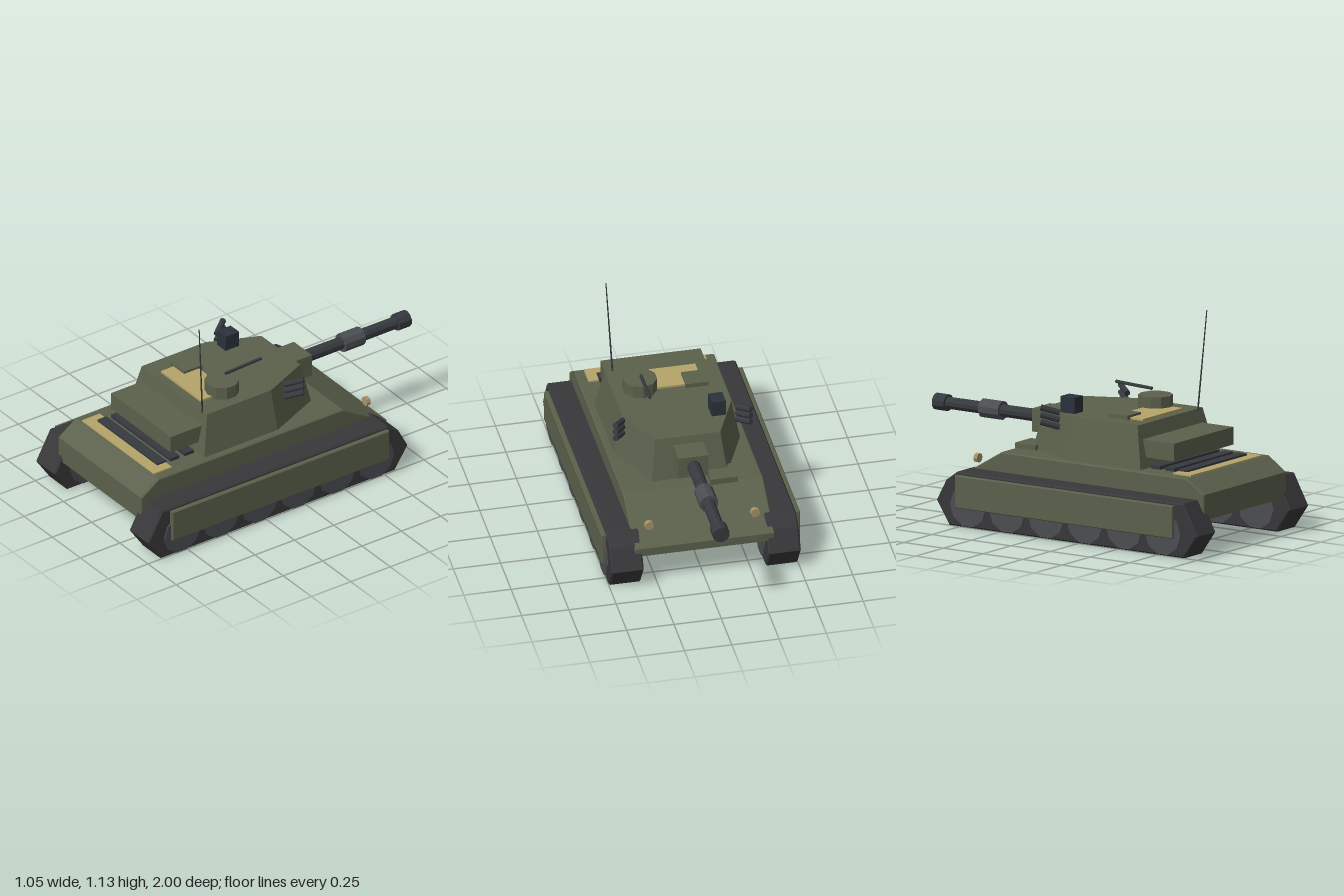
import * as THREE from 'three';

const mat = (color) => new THREE.MeshStandardMaterial({ color, flatShading: true });

export function createModel() {
  const tank = new THREE.Group();
  tank.name = 'tank';
  const olive = mat(0x5b614c), rubber = mat(0x38383a), steel = mat(0x4a4d52);
  const gunMetal = mat(0x36393e), glass = mat(0x2b323c), tan = mat(0xb5a468), lamp = mat(0xa8936a);

  const add = (name, geometry, material, parent = tank) => {
    const mesh = new THREE.Mesh(geometry, material);
    mesh.name = name;
    parent.add(mesh);
    return mesh;
  };
  // Box given by its extents on each axis
  const box = (name, material, [x0, x1], [y0, y1], [z0, z1], parent) => {
    const g = new THREE.BoxGeometry(x1 - x0, y1 - y0, z1 - z0);
    g.translate((x0 + x1) / 2, (y0 + y1) / 2, (z0 + z1) / 2);
    return add(name, g, material, parent);
  };
  // Side profile of [z, y] points extruded across x, with a small bevel
  const slab = (name, material, points, x0, x1, bevel, parent) => {
    const shape = new THREE.Shape(points.map(([z, y]) => new THREE.Vector2(z, y)));
    const g = new THREE.ExtrudeGeometry(shape, {
      depth: x1 - x0 - 2 * bevel, bevelEnabled: true, bevelThickness: bevel,
      bevelSize: bevel, bevelOffset: -bevel, bevelSegments: 1,
    });
    g.rotateY(-Math.PI / 2);
    g.translate(x1 - bevel, 0, 0);
    return add(name, g, material, parent);
  };
  // Cylinder between two points
  const rod = (name, material, a, b, r0, r1, sides, parent) => {
    const p = new THREE.Vector3(...a), q = new THREE.Vector3(...b);
    const d = q.clone().sub(p);
    const mesh = add(name, new THREE.CylinderGeometry(r1, r0, d.length(), sides), material, parent);
    mesh.position.copy(p).add(q).multiplyScalar(0.5);
    mesh.quaternion.setFromUnitVectors(new THREE.Vector3(0, 1, 0), d.normalize());
    return mesh;
  };

  // Hull with sloped nose and stepped rear deck
  slab('hull', olive, [[0.95, 0.18], [0.95, 0.315], [0.84, 0.39], [-0.33, 0.39],
    [-0.61, 0.225], [-0.61, 0.18]], -0.37, 0.37, 0.006);
  box('driverHatch', olive, [-0.235, -0.09], [0.385, 0.417], [-0.34, -0.21]);
  box('deckPanel', tan, [-0.32, 0.32], [0.385, 0.398], [0.72, 0.833]);
  for (const z of [0.745, 0.66, 0.57])
    box('engineGrille', gunMetal, [-0.265, 0.265], [0.385, 0.408], [z - 0.029, z + 0.029]);

  // Running gear, mirrored left and right
  const trackProfile = [[0.915, 0], [1, 0.123], [0.91, 0.286], [-0.52, 0.286],
    [-0.59, 0.235], [-0.65, 0.123], [-0.57, 0]];
  for (const s of [1, -1]) {
    const side = new THREE.Group();
    side.name = s > 0 ? 'leftRunningGear' : 'rightRunningGear';
    tank.add(side);
    slab('track', rubber, trackProfile, s > 0 ? 0.33 : -0.5, s > 0 ? 0.5 : -0.33, 0.008, side);
    for (let i = 0; i < 6; i++) {
      const z = 0.786 - i * 0.246;
      rod('roadWheel', steel, [s * 0.325, 0.115, z], [s * 0.507, 0.115, z], 0.113, 0.113, 10, side);
    }
    const skirt = [[0.86, 0.1], [0.86, 0.272], [-0.515, 0.272], [-0.515, 0.1]];
    slab('sideSkirt', olive, skirt, s > 0 ? 0.497 : -0.525, s > 0 ? 0.525 : -0.497, 0.004, side);
    rod('headlight', lamp, [s * 0.28, 0.322, -0.53], [s * 0.28, 0.322, -0.553], 0.025, 0.025, 8, side);
    // Smoke launchers
    for (let i = 0; i < 3; i++) {
      const y = 0.55 + i * 0.038;
      rod('smokeLauncher', gunMetal, [s * 0.302, y, -0.008], [s * 0.358, y + 0.027, -0.09],
        0.016, 0.016, 8, side);
    }
  }

  // Turret: six-sided frustum lofted from lower to upper outline
  const turret = new THREE.Group();
  turret.name = 'turret';
  tank.add(turret);
  const lower = [[0.335, 0.525], [0.335, 0.06], [0.2, -0.25], [-0.2, -0.25], [-0.335, 0.06], [-0.335, 0.525]];
  const upper = [[0.29, 0.475], [0.29, 0.07], [0.172, -0.2], [-0.172, -0.2], [-0.29, 0.07], [-0.29, 0.475]];
  const pos = [], index = [];
  for (const [x, z] of lower) pos.push(x, 0.385, z);
  for (const [x, z] of upper) pos.push(x, 0.612, z);
  for (let i = 0; i < 6; i++) {
    const j = (i + 1) % 6;
    index.push(i, j, j + 6, i, j + 6, i + 6);
    if (i > 0 && i < 5) index.push(6, 6 + i, 7 + i, 0, i + 1, i);
  }
  const shell = new THREE.BufferGeometry();
  shell.setAttribute('position', new THREE.Float32BufferAttribute(pos, 3));
  shell.setIndex(index);
  const turretGeometry = shell.toNonIndexed();
  turretGeometry.computeVertexNormals();
  add('turretShell', turretGeometry, olive, turret);
  box('stowageBox', olive, [-0.265, 0.265], [0.445, 0.538], [0.48, 0.688], turret);

  // Main gun
  box('gunMantlet', olive, [-0.08, 0.08], [0.45, 0.572], [-0.34, -0.2], turret);
  rod('gunBarrel', gunMetal, [0, 0.518, -0.3], [0, 0.518, -0.97], 0.034, 0.032, 10, turret);
  rod('barrelSleeve', steel, [0, 0.518, -0.58], [0, 0.518, -0.705], 0.05, 0.05, 10, turret);
  rod('muzzleBrake', gunMetal, [0, 0.518, -0.925], [0, 0.518, -1], 0.045, 0.045, 10, turret);

  // Roof fittings
  rod('cupola', olive, [0.147, 0.6, 0.28], [0.147, 0.682, 0.28], 0.09, 0.09, 10, turret);
  rod('machineGun', gunMetal, [0.147, 0.71, 0.257], [0.147, 0.72, 0.03], 0.009, 0.009, 6, turret);
  box('loaderHatch', olive, [-0.205, -0.087], [0.605, 0.635], [0.235, 0.352], turret);
  box('roofPanel', tan, [-0.18, 0.173], [0.605, 0.623], [0.258, 0.432], turret);
  box('gunnerSight', glass, [-0.235, -0.16], [0.605, 0.697], [-0.05, 0.037], turret);
  rod('antenna', gunMetal, [0.248, 0.6, 0.475], [0.274, 1.132, 0.514], 0.005, 0.003, 6, turret);

  return tank;
}
